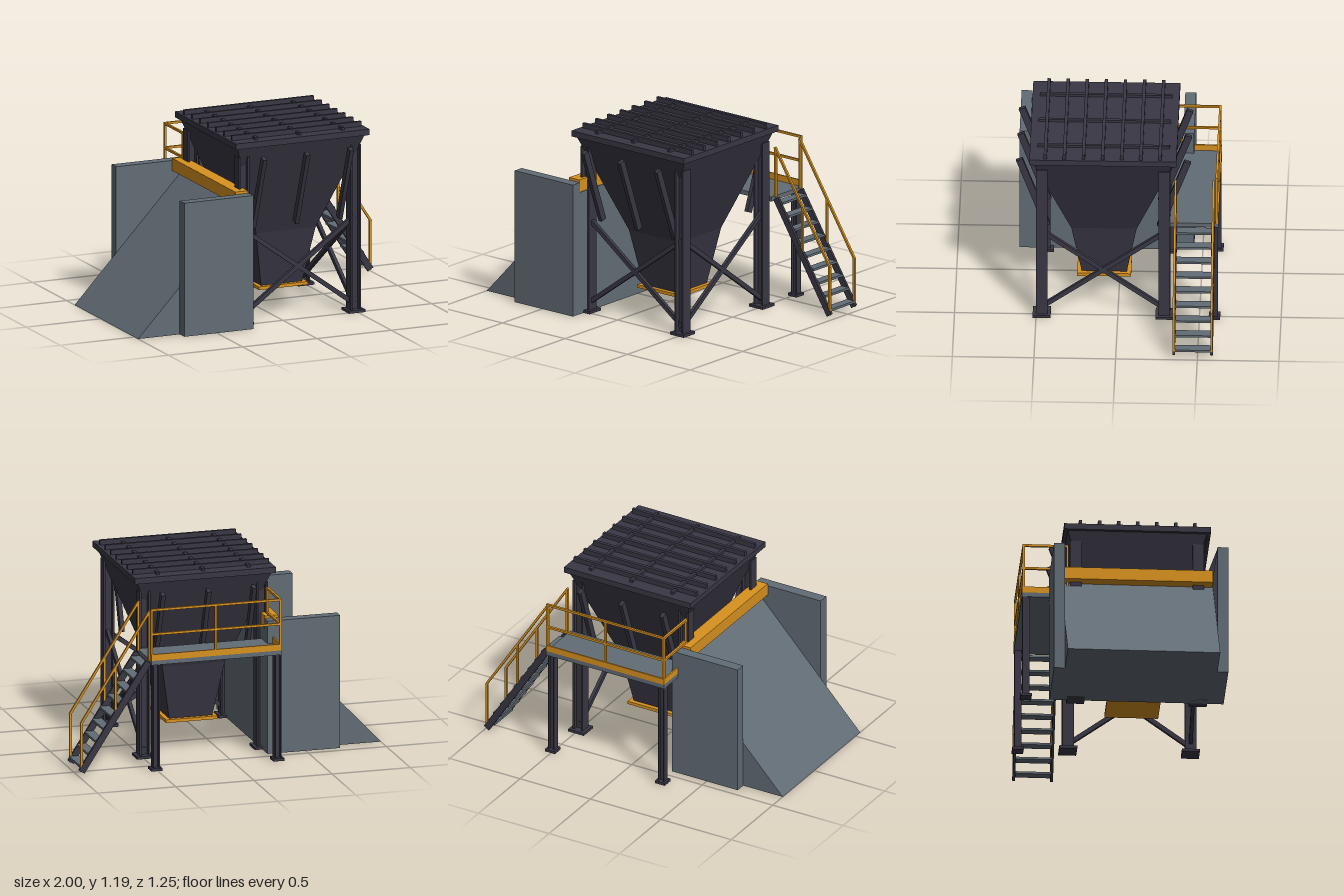
import * as THREE from 'three';

export function createModel() {
  const model = new THREE.Group();
  model.name = 'hopperStation';

  const material = (name, color) => {
    const m = new THREE.MeshStandardMaterial({ color });
    m.name = name;
    return m;
  };
  const steel = material('darkSteel', 0x393744);
  const orange = material('safetyOrange', 0xd8921f);
  const grey = material('concreteGrey', 0x626c75);

  const add = (name, geometry, mat, parent = model) => {
    const mesh = new THREE.Mesh(geometry, mat);
    mesh.name = name;
    parent.add(mesh);
    return mesh;
  };
  // Box given by its lower and upper limits on each axis
  const box = (name, mat, x0, x1, y0, y1, z0, z1) => {
    const mesh = add(name, new THREE.BoxGeometry(x1 - x0, y1 - y0, z1 - z0), mat);
    mesh.position.set((x0 + x1) / 2, (y0 + y1) / 2, (z0 + z1) / 2);
    return mesh;
  };
  // Straight bar from a to b; its height is measured across its slope
  const bar = (name, mat, a, b, width, height) => {
    const start = new THREE.Vector3(...a), end = new THREE.Vector3(...b);
    const mesh = add(name, new THREE.BoxGeometry(width, height, start.distanceTo(end)), mat);
    mesh.position.copy(start).add(end).multiplyScalar(0.5);
    if (a[0] === b[0] && a[2] === b[2]) mesh.rotation.x = Math.PI / 2;
    else mesh.lookAt(end);
    return mesh;
  };

  const cx = 0.115, cz = 0.09;

  // Hopper: two square funnels, a rim and the discharge gate
  const funnel = (name, top, bottom, y0, y1) => {
    const g = new THREE.CylinderGeometry(top * Math.SQRT2, bottom * Math.SQRT2, y1 - y0, 4)
      .rotateY(Math.PI / 4).toNonIndexed();
    g.computeVertexNormals();
    add(name, g, steel).position.set(cx, (y0 + y1) / 2, cz);
  };
  funnel('upperFunnel', 0.428, 0.2, 0.51, 1.12);
  funnel('lowerFunnel', 0.2, 0.137, 0.155, 0.51);
  box('hopperRim', steel, cx - 0.45, cx + 0.45, 1.12, 1.157, cz - 0.45, cz + 0.45);
  box('dischargeGate', orange, cx - 0.165, cx + 0.165, 0.14, 0.16, cz - 0.165, cz + 0.165);

  // Grate bars across the top
  for (const dx of [-0.29, 0, 0.29]) {
    box('grateCrossBar', steel, cx + dx - 0.01, cx + dx + 0.01, 1.15, 1.173, cz - 0.405, cz + 0.405);
  }
  for (let i = -3; i <= 3; i++) {
    const z = cz + 0.002 + i * 0.117;
    box('grateBar', steel, cx - 0.435, cx + 0.435, 1.155, 1.188, z - 0.01, z + 0.01);
  }

  // Sloping stiffeners on the front and back of the hopper
  for (const s of [-1, 1]) for (const dx of [-0.29, 0, 0.293]) {
    bar('hopperStiffener', steel, [cx + dx, 0.594, cz + s * 0.346], [cx + dx, 1.064, cz + s * 0.515], 0.026, 0.042);
  }

  // I-section columns with foot plates
  const column = (name, x, z, half, top, foot) => {
    const flange = half * 0.35;
    box(name + 'Web', steel, x - half, x + half, 0, top, z - half * 0.2, z + half * 0.2);
    for (const s of [-1, 1]) {
      const fx = x + s * (half - flange / 2);
      box(name + 'Flange', steel, fx - flange / 2, fx + flange / 2, 0, top, z - half, z + half);
    }
    box(name + 'Foot', steel, x - foot, x + foot, 0, 0.017, z - foot, z + foot);
  };
  for (const sx of [-1, 1]) for (const sz of [-1, 1]) {
    column('column', cx + sx * 0.376, cz + sz * 0.376, 0.035, 1.057, 0.055);
  }

  // Cross braces on the front and right faces of the frame
  for (const s of [-1, 1]) {
    bar('frontBrace', steel, [cx - s * 0.376, 0.05, cz + 0.376], [cx + s * 0.376, 0.6, cz + 0.376], 0.022, 0.028);
    bar('sideBrace', steel, [cx + 0.376, 0.05, cz - s * 0.376], [cx + 0.376, 0.6, cz + s * 0.376], 0.022, 0.028);
  }

  // Loading ramp, wing walls and wheel stop
  const profile = new THREE.Shape([[-1, 0], [-0.255, 0], [-0.255, 0.78], [-0.27, 0.78]]
    .map(([x, y]) => new THREE.Vector2(x, y)));
  add('loadingRamp', new THREE.ExtrudeGeometry(profile, { depth: 0.935, bevelEnabled: false }), grey)
    .position.z = -0.38;
  box('frontWingWall', grey, -0.72, -0.255, 0, 0.843, 0.555, 0.622);
  box('backWingWall', grey, -0.72, -0.255, 0, 0.843, -0.447, -0.38);
  box('wheelStop', orange, -0.345, -0.26, 0.78, 0.858, -0.378, 0.553);

  // Walkway platform with its legs and toe boards
  box('platformDeck', grey, -0.297, 0.54, 0.672, 0.7, -0.617, -0.32);
  for (const x of [-0.273, 0.507]) column('platformLeg', x, -0.592, 0.022, 0.672, 0.035);
  box('backToeBoard', orange, -0.297, 0.54, 0.7, 0.74, -0.617, -0.607);
  box('sideToeBoard', orange, -0.297, -0.287, 0.7, 0.74, -0.617, -0.33);

  // Platform guard rail
  const t = 0.014;
  for (const [x, z] of [[-0.289, -0.337], [-0.289, -0.606], [0.125, -0.606], [0.535, -0.606]]) {
    bar('railPost', orange, [x, 0.7, z], [x, 1.025, z], t, t);
  }
  for (const y of [0.866, 1.02]) {
    bar('backRail', orange, [-0.296, y, -0.606], [0.542, y, -0.606], t, t);
    bar('sideRail', orange, [-0.289, y, -0.606], [-0.289, y, -0.33], t, t);
  }

  // Stair: stringers, treads and handrails
  const slope = 1.55;
  const stairY = (x) => 0.695 - (x - 0.545) * slope;
  for (const z of [-0.355, -0.587]) {
    bar('stairStringer', steel, [0.55, stairY(0.55), z], [0.978, stairY(0.978), z], 0.016, 0.042);
    for (const x of [0.545, 0.76, 0.978]) {
      bar('stairRailPost', orange, [x, stairY(x), z], [x, stairY(x) + 0.305, z], t, t);
    }
    bar('stairHandrail', orange, [0.54, stairY(0.54) + 0.31, z], [0.982, stairY(0.982) + 0.31, z], t, t);
  }
  for (let i = 0; i < 9; i++) {
    const y = 0.66 - i * 0.0755;
    const x = 0.545 + (0.695 - y) / slope;
    box('stairTread', grey, x - 0.03, x + 0.03, y - 0.007, y + 0.007, -0.58, -0.362);
  }

  return model;
}
